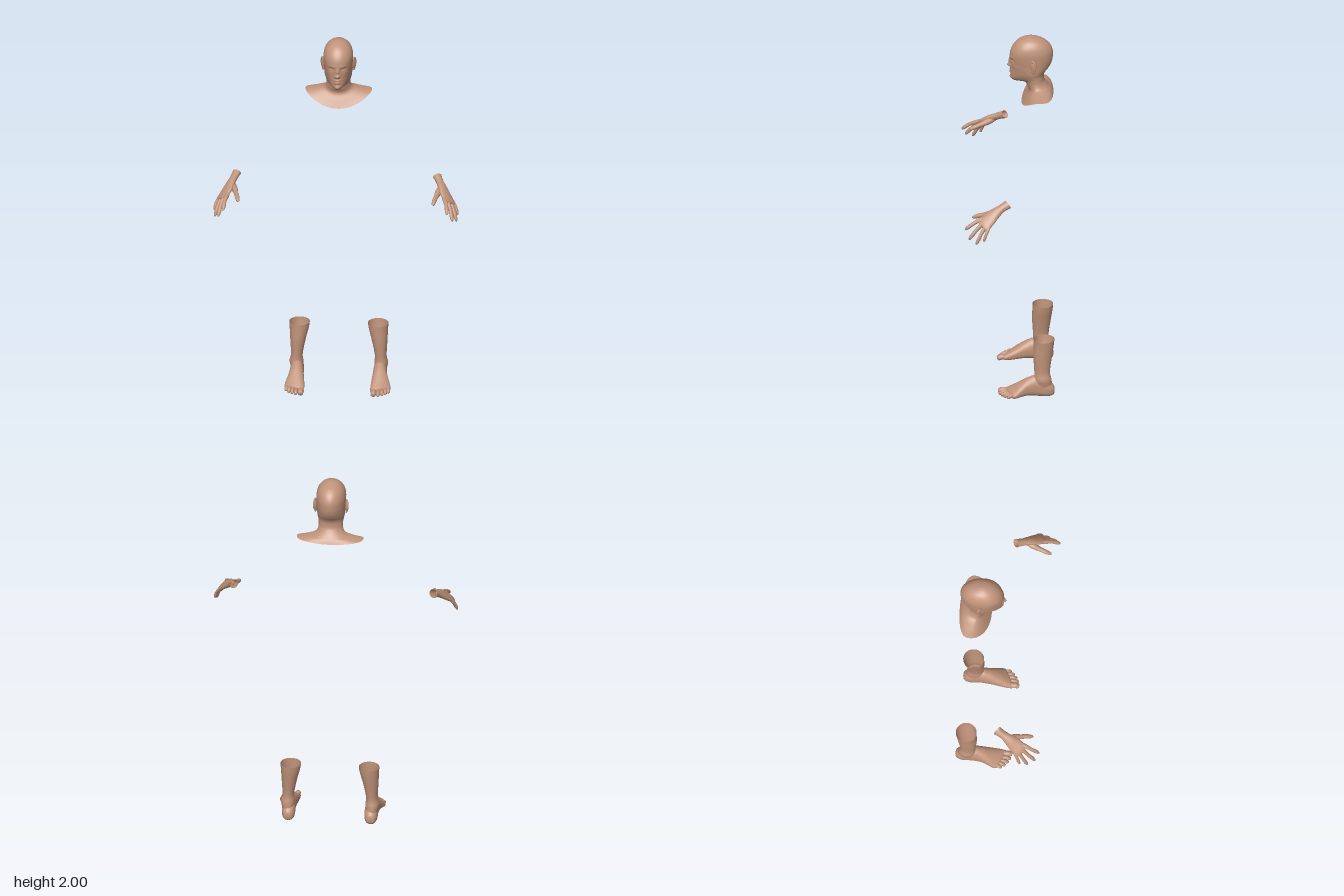
import * as THREE from 'three';

const skin = new THREE.MeshStandardMaterial({ color: 0xc0937a, side: THREE.DoubleSide });
skin.name = 'skin';
const V = (x, y, z) => new THREE.Vector3(x, y, z);

// Catmull-Rom refinement of a short table of cross-section rows
function refine(rows, steps) {
  const out = [];
  const at = (i) => rows[Math.min(Math.max(i, 0), rows.length - 1)];
  for (let i = 0; i < rows.length - 1; i++) {
    for (let k = 0; k < steps; k++) {
      const t = k / steps;
      out.push(rows[i].map((b, j) => {
        const a = at(i - 1)[j], c = at(i + 1)[j], d = at(i + 2)[j];
        return b + 0.5 * t * (c - a + t * (2 * a - 5 * b + 4 * c - d + t * (3 * (b - c) + d - a)));
      }));
    }
  }
  out.push(rows[rows.length - 1]);
  return out;
}

// Smooth skin over a list of rings with equal point counts
function loft(name, rings) {
  const n = rings[0].length, index = [];
  for (let i = 0; i < rings.length - 1; i++) {
    for (let j = 0; j < n; j++) {
      const a = i * n + j, b = i * n + (j + 1) % n;
      index.push(a, b, b + n, a, b + n, a + n);
    }
  }
  const g = new THREE.BufferGeometry().setFromPoints(rings.flat());
  g.setIndex(index);
  g.computeVertexNormals();
  const m = new THREE.Mesh(g, skin);
  m.name = name;
  return m;
}

const ring = (n, fn) => Array.from({ length: n }, (_, j) => {
  const t = (j / n) * Math.PI * 2;
  return fn(Math.cos(t), Math.sin(t));
});

// Tapered, round-tipped finger or toe along a path
function digit(name, points, radii, flat = 1) {
  const curve = new THREE.CatmullRomCurve3(points);
  const rs = refine(radii.map((r) => [r]), 8);
  const rings = [], N = 20;
  for (let i = 0; i <= N; i++) {
    const t = i / N, p = curve.getPoint(t), d = curve.getTangent(t);
    const u = V(0, 1, 0).cross(d).normalize(), v = d.clone().cross(u);
    const tip = Math.sqrt(Math.max(0.0004, 1 - Math.pow(Math.max(0, (t - 0.86) / 0.14), 2)));
    const r = rs[Math.round(t * (rs.length - 1))][0] * tip;
    rings.push(ring(12, (c, s) => p.clone().addScaledVector(u, c * r).addScaledVector(v, s * r * flat)));
  }
  return loft(name, rings);
}

function head() {
  const g = new THREE.Group();
  g.name = 'headAndNeck';
  // front y, side y, back y, front z, back z, half width, widest z, front taper
  const rows = refine([
    [1.62, 1.69, 1.68, -0.07, -0.238, 0.175, -0.17, 0],
    [1.655, 1.699, 1.70, -0.09, -0.226, 0.125, -0.165, 0],
    [1.69, 1.713, 1.725, -0.108, -0.205, 0.08, -0.155, 0],
    [1.715, 1.737, 1.75, -0.1, -0.19, 0.065, -0.145, 0],
    [1.74, 1.765, 1.775, -0.085, -0.188, 0.064, -0.135, 0.1],
    [1.746, 1.782, 1.79, -0.035, -0.191, 0.067, -0.125, 0.3],
    [1.762, 1.798, 1.805, -0.015, -0.199, 0.071, -0.12, 0.3],
    [1.80, 1.82, 1.825, -0.012, -0.214, 0.0735, -0.12, 0.18],
    [1.84, 1.85, 1.85, -0.012, -0.227, 0.075, -0.12, 0.08],
    [1.88, 1.88, 1.88, -0.008, -0.234, 0.077, -0.12, 0],
    [1.92, 1.92, 1.92, -0.013, -0.234, 0.077, -0.12, -0.08],
    [1.955, 1.955, 1.955, -0.031, -0.217, 0.068, -0.12, -0.08],
    [1.981, 1.981, 1.981, -0.058, -0.186, 0.049, -0.118, 0],
    [1.995, 1.995, 1.995, -0.09, -0.146, 0.024, -0.117, 0],
    [2, 2, 2, -0.116, -0.118, 0.001, -0.117, 0],
  ], 8);
  // facial relief: x, y, spread x, spread y, depth
  const relief = [
    [0, 1.858, 0.008, 0.016, 0.009], [0, 1.836, 0.010, 0.008, 0.018], [0.011, 1.833, 0.006, 0.006, 0.006],
    [0.031, 1.872, 0.013, 0.009, -0.010], [0.032, 1.868, 0.009, 0.005, 0.005], [0.028, 1.889, 0.018, 0.006, 0.003],
    [0.046, 1.842, 0.014, 0.014, 0.004], [0, 1.809, 0.017, 0.004, 0.006], [0, 1.803, 0.02, 0.002, -0.004],
    [0, 1.796, 0.015, 0.005, 0.006], [0, 1.784, 0.018, 0.004, -0.003], [0, 1.767, 0.015, 0.009, 0.005],
  ];
  const rings = rows.map(([yF, yS, yB, zF, zB, w, zc, taper], i) => ring(96, (c, s) => {
    const front = c > 0;
    const x = w * s * (1 - (front ? taper * c : 0));
    const y = yS + ((front ? yF : yB) - yS) * c * c;
    const square = i < 10 ? 0.7 : 1;
    let z = front ? zc + (zF - zc) * c : zc - (zc - zB) * Math.pow(-c, square);
    if (front) {
      for (const [fx, fy, sx, sy, d] of relief) {
        z += d * Math.exp(-(((Math.abs(x) - fx) / sx) ** 2) - ((y - fy) / sy) ** 2) * Math.min(1, c * 3);
      }
    }
    return V(x, y, z);
  }));
  g.add(loft('headSurface', rings));

  // Ears: shallow bowl with a raised rim and lobe
  for (const side of [1, -1]) {
    const ear = new THREE.Group();
    ear.name = side > 0 ? 'leftEar' : 'rightEar';
    const part = (name, geo, p, s) => {
      const m = new THREE.Mesh(geo, skin);
      m.name = name;
      m.position.set(...p);
      m.scale.set(...s);
      ear.add(m);
    };
    part('earBowl', new THREE.SphereGeometry(1, 16, 12), [-0.003, 0, 0], [0.015, 0.03, 0.007]);
    part('earRim', new THREE.TorusGeometry(0.016, 0.0045, 8, 24), [0, 0.005, 0], [0.9, 1.7, 1]);
    part('earLobe', new THREE.SphereGeometry(1, 12, 8), [-0.005, -0.028, 0], [0.009, 0.011, 0.005]);
    ear.position.set(side * 0.083, 1.857, -0.131);
    ear.rotation.set(0.12, side > 0 ? 1.1 : Math.PI - 1.1, 0);
    g.add(ear);
  }
  return g;
}

function hand() {
  const g = new THREE.Group();
  const d = V(0.39, -0.47, 0.79).normalize();
  const w = V(0.66, -0.46, -0.59).normalize();
  const v = d.clone().cross(w).normalize();
  // Wrist and palm: centre, half width, half thickness
  const rows = refine([
    [0.525, 1.278, 0.008, 0.025, 0.021],
    [0.54, 1.262, 0.042, 0.022, 0.018],
    [0.558, 1.24, 0.078, 0.031, 0.018],
    [0.575, 1.217, 0.108, 0.039, 0.016],
    [0.591, 1.198, 0.132, 0.040, 0.013],
    [0.599, 1.189, 0.146, 0.034, 0.007],
    [0.6, 1.188, 0.148, 0.002, 0.001],
  ], 5);
  g.add(loft('palm', rows.map(([x, y, z, a, b]) =>
    ring(28, (c, s) => V(x, y, z).addScaledVector(w, a * c).addScaledVector(v, b * s)))));

  // Fingers: knuckle offset across the palm, tip, radius
  const fingers = [
    ['indexFinger', -0.031, V(0.587, 1.162, 0.236), 0.0105],
    ['middleFinger', -0.010, V(0.614, 1.115, 0.217), 0.0105],
    ['ringFinger', 0.011, V(0.634, 1.096, 0.178), 0.010],
    ['littleFinger', 0.031, V(0.639, 1.116, 0.137), 0.0085],
  ];
  for (const [name, off, tip, r] of fingers) {
    const base = V(0.587, 1.203, 0.126).addScaledVector(w, off);
    const mid = base.clone().lerp(tip, 0.5).addScaledVector(v, 0.006);
    g.add(digit(name, [base, mid, tip], [r, r * 1.05, r * 0.9, r * 0.95, r * 0.7]));
  }
  g.add(digit('thumb', [V(0.548, 1.242, 0.06), V(0.532, 1.226, 0.11), V(0.519, 1.212, 0.155), V(0.51, 1.195, 0.198)],
    [0.012, 0.017, 0.0125, 0.012, 0.008]));
  return g;
}

function foot() {
  const g = new THREE.Group();
  // Shin and ankle: y, centre x, centre z, half width, half depth
  const leg = refine([
    [0.04, 0.219, -0.183, 0.028, 0.045],
    [0.08, 0.221, -0.18, 0.034, 0.046],
    [0.105, 0.222, -0.178, 0.036, 0.045],
    [0.145, 0.220, -0.175, 0.031, 0.041],
    [0.23, 0.214, -0.178, 0.041, 0.049],
    [0.29, 0.208, -0.183, 0.05, 0.053],
    [0.327, 0.206, -0.185, 0.054, 0.055],
  ], 5);
  g.add(loft('shin', leg.map(([y, x, z, a, b]) => ring(32, (c, s) => V(x + a * s, y, z + b * c)))));

  // Heel to ball: z, centre x, half width, sole y, top y, toe slant
  const body = refine([
    [-0.241, 0.217, 0.002, 0.035, 0.037, 0],
    [-0.235, 0.217, 0.021, 0.012, 0.062, 0],
    [-0.205, 0.217, 0.034, 0.001, 0.095, 0],
    [-0.15, 0.218, 0.035, 0.004, 0.122, 0],
    [-0.10, 0.219, 0.039, 0.008, 0.106, 0.05],
    [-0.055, 0.222, 0.047, 0.004, 0.078, 0.2],
    [-0.02, 0.225, 0.052, 0.001, 0.053, 0.4],
    [0.002, 0.226, 0.047, 0.006, 0.036, 0.45],
    [0.006, 0.226, 0.004, 0.018, 0.021, 0.45],
  ], 5);
  g.add(loft('footBody', body.map(([z, x, a, y0, y1, k]) => ring(32, (c, s) => {
    const h = s > 0 ? s : -Math.pow(-s, 0.6);
    return V(x + a * c, (y0 + y1) / 2 + ((y1 - y0) / 2) * h, z - k * a * c);
  }))));

  // Toes: base x, base z, tip x, tip z, radius
  const toes = [
    ['bigToe', 0.192, 0, 0.19, 0.056, 0.0145],
    ['secondToe', 0.214, -0.002, 0.216, 0.052, 0.0095],
    ['thirdToe', 0.232, -0.01, 0.236, 0.041, 0.0092],
    ['fourthToe', 0.248, -0.02, 0.254, 0.026, 0.0088],
    ['littleToe', 0.262, -0.032, 0.269, 0.008, 0.0085],
  ];
  for (const [name, bx, bz, tx, tz, r] of toes) {
    g.add(digit(name, [V(bx, 0.02, bz), V((bx + tx) / 2, 0.024, (bz + tz) / 2), V(tx, r + 0.001, tz)],
      [r, r * 0.95, r * 1.05, r * 0.9]));
  }
  return g;
}

export function createModel() {
  const model = new THREE.Group();
  model.name = 'bodyParts';
  model.add(head());
  for (const side of [1, -1]) {
    for (const [name, make] of [['Hand', hand], ['Foot', foot]]) {
      const g = make();
      g.name = (side > 0 ? 'left' : 'right') + name;
      g.scale.x = side;
      model.add(g);
    }
  }
  return model;
}
